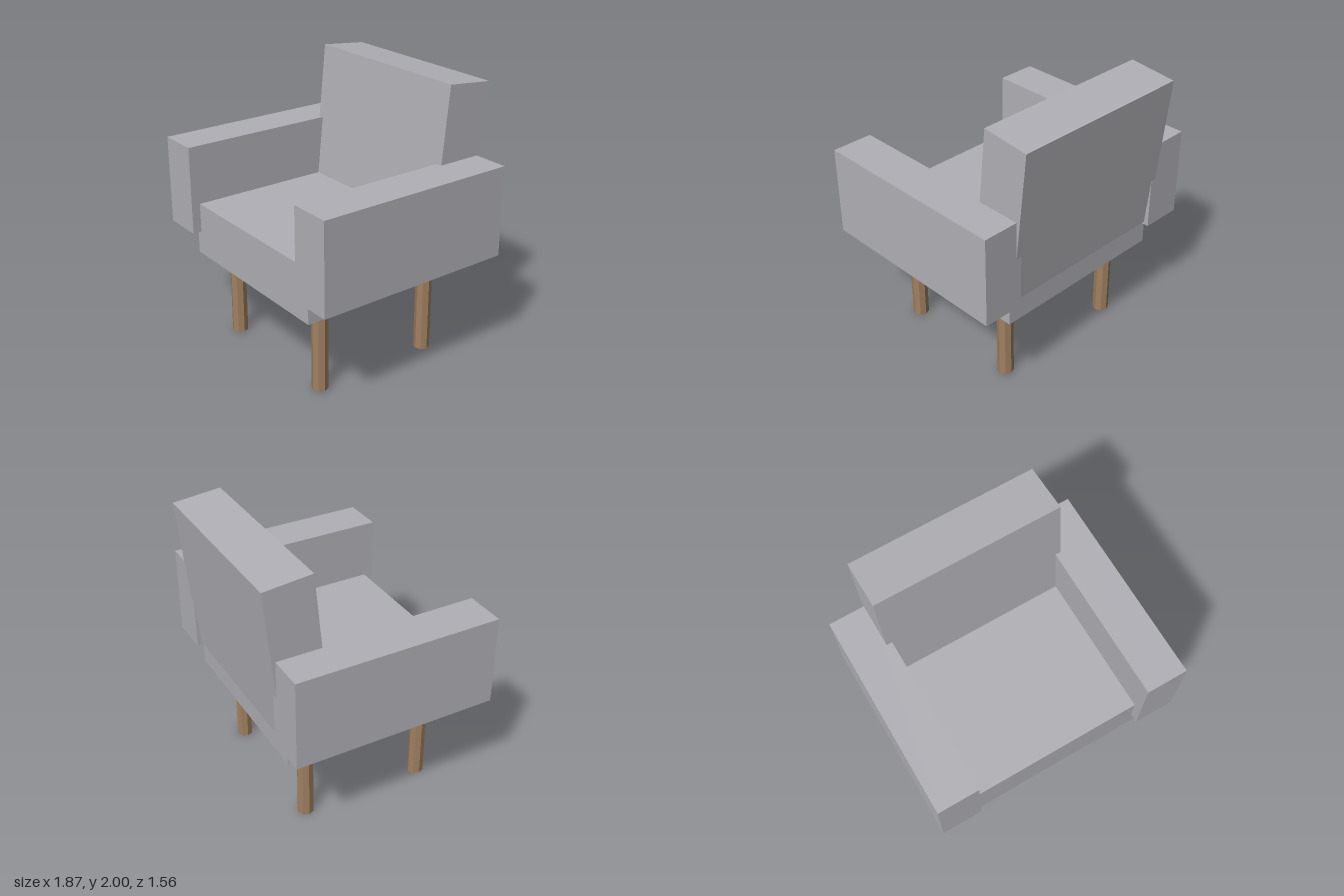
import * as THREE from 'three';

export function createModel() {
  const model = new THREE.Group();
  model.name = 'armchair';

  const fabric = new THREE.MeshStandardMaterial({ color: 0xb0b0b6, flatShading: true });
  fabric.name = 'grey fabric';
  const wood = new THREE.MeshStandardMaterial({ color: 0xa08060, flatShading: true });
  wood.name = 'brown wood';

  function add(name, geometry, material, x, y, z) {
    const mesh = new THREE.Mesh(geometry, material);
    mesh.name = name;
    mesh.position.set(x, y, z);
    model.add(mesh);
    return mesh;
  }

  // Seat block
  add('seat', new THREE.BoxGeometry(1.35, 0.39, 1.35), fabric, 0, 0.83, 0.04);

  // Backrest, leaning slightly backwards
  const back = add('backrest', new THREE.BoxGeometry(1.35, 1.14, 0.35), fabric, 0, 1.416, -0.547);
  back.rotation.x = -0.1;

  // Armrests and legs, mirrored left and right
  const armGeometry = new THREE.BoxGeometry(0.3, 0.65, 1.48);
  const legGeometry = new THREE.CylinderGeometry(0.058, 0.058, 0.64, 8);
  for (const [side, s] of [['left', 1], ['right', -1]]) {
    add(side + 'Armrest', armGeometry, fabric, s * 0.784, 1.135, 0.04);
    add(side + 'FrontLeg', legGeometry, wood, s * 0.503, 0.32, 0.5);
    add(side + 'BackLeg', legGeometry, wood, s * 0.503, 0.32, -0.417);
  }

  return model;
}
